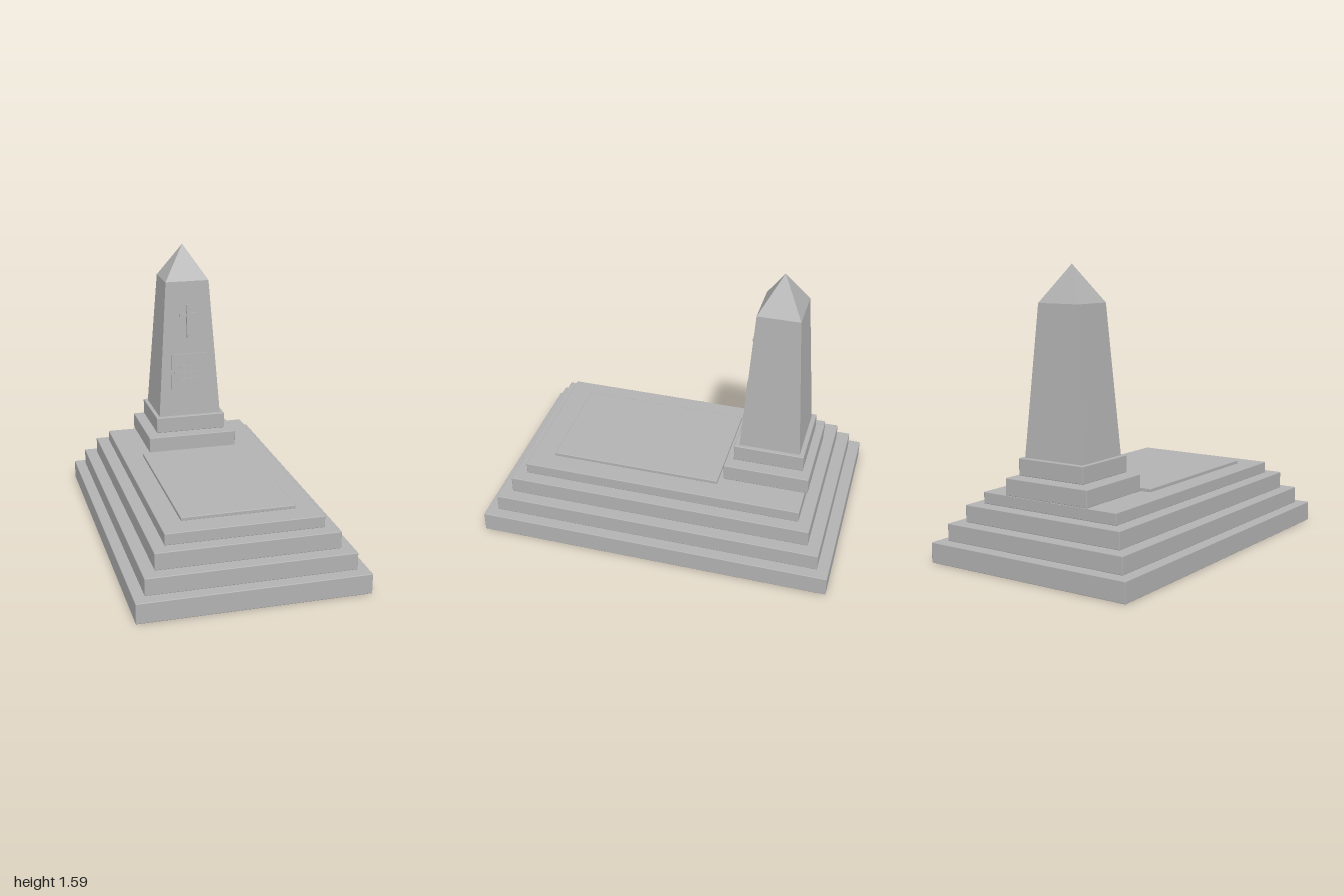
import * as THREE from 'three';
import { RoundedBoxGeometry } from 'three/addons/geometries/RoundedBoxGeometry.js';

export function createModel() {
  const model = new THREE.Group();
  model.name = 'obeliskMonument';
  const stone = new THREE.MeshStandardMaterial({ color: 0xb2b2b2 });
  stone.name = 'greyStone';

  function add(name, geometry, parent = model) {
    const mesh = new THREE.Mesh(geometry, stone);
    mesh.name = name;
    parent.add(mesh);
    return mesh;
  }

  // Block with slightly softened edges, placed by its bottom and top
  function block(name, width, depth, bottom, top, z = 0) {
    const geometry = new RoundedBoxGeometry(width, top - bottom, depth, 1, 0.004);
    add(name, geometry).position.set(0, (bottom + top) / 2, z);
  }

  // Four-sided tapered column with flat faces; sizes are full widths at the base
  function taper(name, width, depth, ratio, bottom, top, z) {
    const r = Math.SQRT1_2;
    let geometry = new THREE.CylinderGeometry(r * ratio, r, top - bottom, 4);
    geometry.rotateY(Math.PI / 4);
    geometry.scale(width, 1, depth);
    geometry = geometry.toNonIndexed();
    geometry.computeVertexNormals();
    add(name, geometry).position.set(0, (bottom + top) / 2, z);
  }

  // Stepped base
  const steps = [
    [1.26, 2.0, 0, 0.113],
    [1.14, 1.87, 0.115, 0.211],
    [1.005, 1.73, 0.213, 0.309],
    [0.868, 1.59, 0.311, 0.376],
  ];
  steps.forEach(([w, d, y0, y1], i) => block('baseStep' + (i + 1), w, d, y0, y1));

  // Cover slab in front of the obelisk
  block('coverSlab', 0.632, 0.967, 0.374, 0.395, 0.178);

  // Plinth and obelisk
  const cz = -0.57;
  block('lowerPlinth', 0.532, 0.482, 0.38, 0.474, cz);
  block('upperPlinth', 0.42, 0.394, 0.486, 0.58, cz);
  taper('obeliskShaft', 0.376, 0.342, 0.694, 0.58, 1.392, cz);
  taper('obeliskCap', 0.261, 0.2375, 0, 1.392, 1.594, cz);

  // Front ornaments lie along the sloping face of the shaft
  const ornaments = new THREE.Group();
  ornaments.name = 'frontOrnaments';
  ornaments.position.set(0, 0.58, cz + 0.171);
  ornaments.rotation.x = -Math.atan(0.0523 / 0.812);
  model.add(ornaments);

  function plate(name, width, y0, y1, z0, z1) {
    const geometry = new THREE.BoxGeometry(width, y1 - y0, z1 - z0);
    add(name, geometry, ornaments).position.set(0, (y0 + y1) / 2 - 0.58, (z0 + z1) / 2);
  }

  // Cross
  plate('crossUpright', 0.021, 1.058, 1.254, -0.005, 0.019);
  plate('crossArm', 0.108, 1.185, 1.206, -0.005, 0.017);

  // Plaque with three raised bars
  plate('plaque', 0.218, 0.731, 0.96, -0.005, 0.01);
  [[0.884, 0.114], [0.847, 0.182], [0.804, 0.142]].forEach(([y, w], i) =>
    plate('plaqueBar' + (i + 1), w, y - 0.004, y + 0.004, 0.008, 0.016));

  return model;
}
